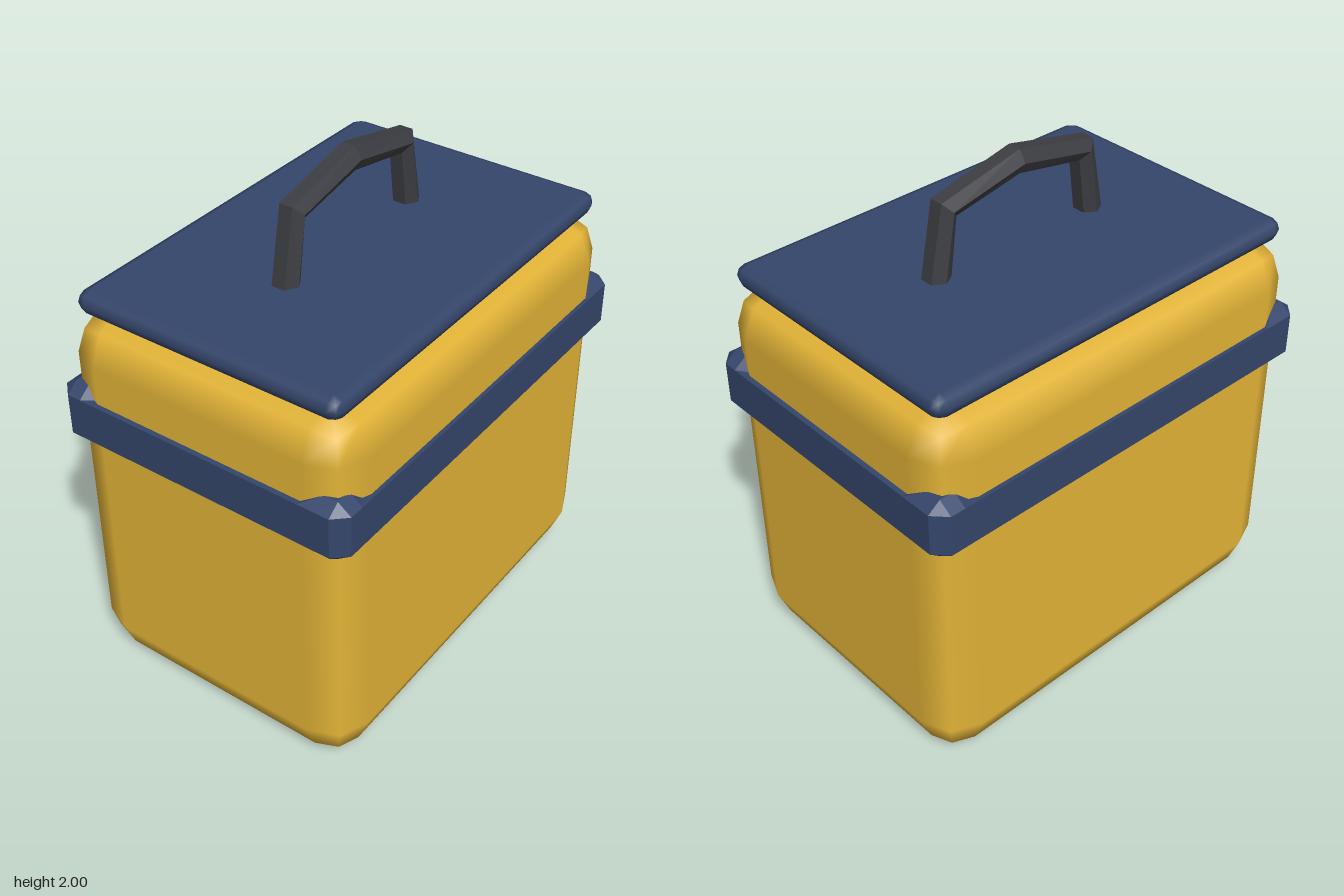
import * as THREE from 'three';
import { RoundedBoxGeometry } from 'three/addons/geometries/RoundedBoxGeometry.js';

const YELLOW = 0xe3b437, NAVY = 0x35466b, DARK = 0x3c3d42;

function part(name, geometry, color, flatShading = false) {
  const mesh = new THREE.Mesh(geometry, new THREE.MeshStandardMaterial({ color, flatShading }));
  mesh.name = name;
  return mesh;
}

// Skin a row of closed cross-sections; closed joins the last to the first
function loft(rings, closed) {
  const n = rings[0].length, index = [];
  const count = closed ? rings.length : rings.length - 1;
  for (let j = 0; j < count; j++) {
    const k = (j + 1) % rings.length;
    for (let i = 0; i < n; i++) {
      const m = (i + 1) % n;
      index.push(j * n + i, j * n + m, k * n + i, j * n + m, k * n + m, k * n + i);
    }
  }
  const g = new THREE.BufferGeometry();
  g.setAttribute('position', new THREE.Float32BufferAttribute(rings.flat(2), 3));
  g.setIndex(index);
  g.computeVertexNormals();
  return g;
}

function bandGeometry() {
  const outerH = 0.082, peak = 0.12;
  // per corner: outer x, outer z, ridge x, ridge z, ridge half height
  const stations = [
    [0.71, 0.615, 0.71, 0.562, outerH],
    [0.78, 0.615, 0.78, 0.562, peak],
    [0.84, 0.615, 0.84, 0.562, peak],
    [0.89, 0.562, 0.84, 0.562, peak],
    [0.89, 0.505, 0.84, 0.505, peak],
    [0.89, 0.435, 0.84, 0.435, outerH],
  ];
  const rings = [];
  for (const [sx, sz] of [[1, 1], [1, -1], [-1, -1], [-1, 1]]) {
    const list = sx * sz > 0 ? stations : [...stations].reverse();
    for (const [ox, oz, rx, rz, h] of list) {
      const o = (y) => [sx * ox, y, sz * oz];
      const r = (y) => [sx * rx, y, sz * rz];
      const inner = (y) => [sx * (rx - 0.1), y, sz * (rz - 0.1)];
      rings.push([inner(h), r(h), o(outerH), o(-outerH), r(-h), inner(-h)]);
    }
  }
  return loft(rings, true);
}

function handleGeometry() {
  // centre x, y and mitred offset to the outer side
  const path = [
    [-0.367, 1.6, -0.046, 0],
    [-0.32, 1.888, -0.032, 0.034],
    [0, 1.954, 0, 0.046],
    [0.32, 1.888, 0.032, 0.034],
    [0.367, 1.6, 0.046, 0],
  ];
  // hexagonal bar, pointed towards front and back
  const hex = [[1, -0.027], [1, 0.027], [0, 0.054], [-1, 0.027], [-1, -0.027], [0, -0.054]];
  return loft(path.map(([x, y, dx, dy]) => hex.map(([s, z]) => [x + s * dx, y + s * dy, z])), false);
}

export function createModel() {
  const model = new THREE.Group();
  model.name = 'lunchBox';

  const body = part('body', new RoundedBoxGeometry(1.74, 1.545, 1.2, 1, 0.16), YELLOW);
  body.position.y = 0.7725;

  const band = part('band', bandGeometry(), NAVY, true);
  band.position.y = 1.152;

  const lid = part('lid', new RoundedBoxGeometry(1.65, 0.09, 1.1, 1, 0.045), NAVY);
  lid.position.y = 1.586;

  model.add(body, band, lid, part('handle', handleGeometry(), DARK, true));
  return model;
}
